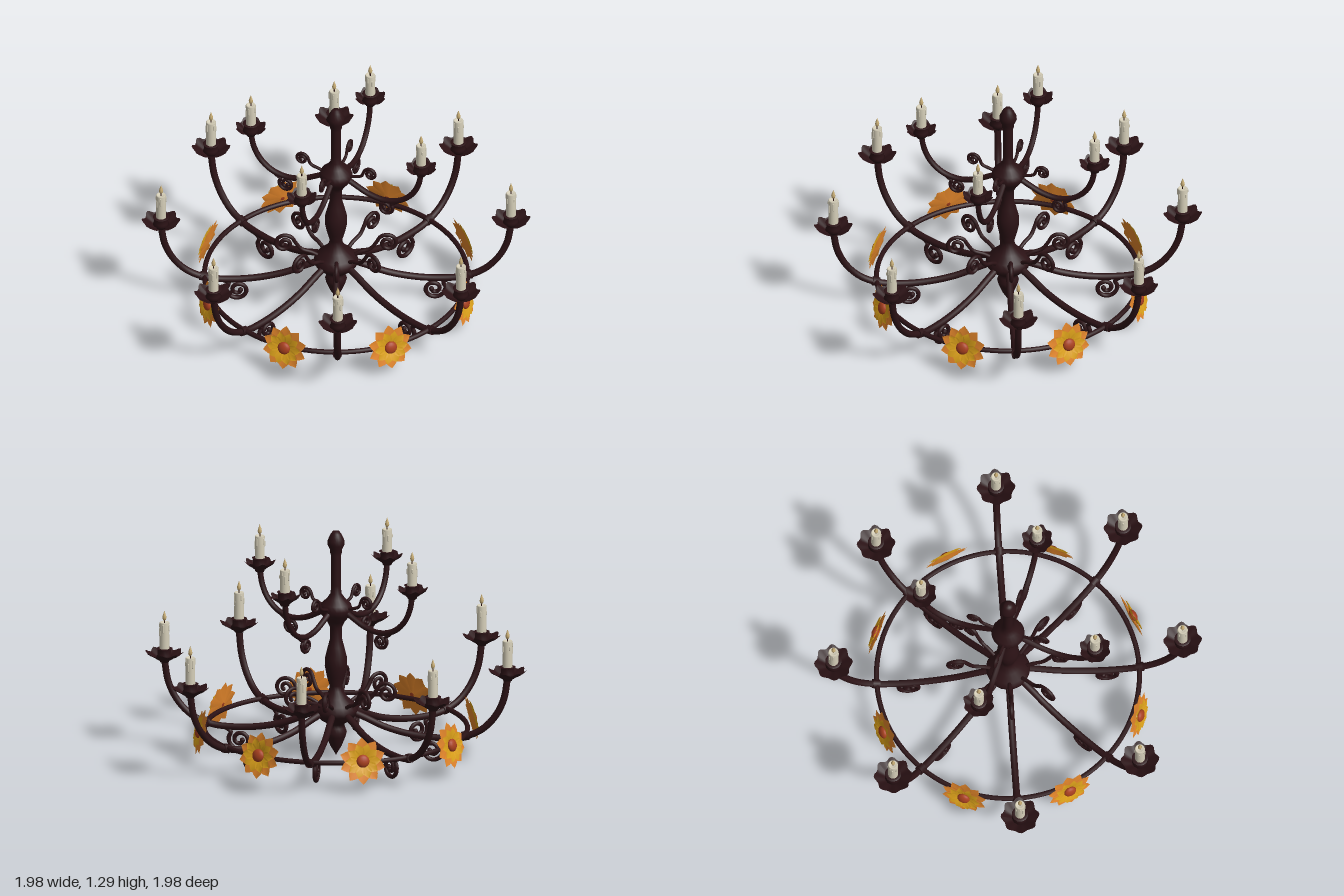
import * as THREE from 'three';
import { mergeGeometries } from 'three/addons/utils/BufferGeometryUtils.js';

const mat = (name, color, side = THREE.FrontSide) => {
  const m = new THREE.MeshStandardMaterial({ color, side });
  m.name = name;
  return m;
};
const V = (x, y) => new THREE.Vector3(x, y, 0);
const lathe = (pts, seg) => new THREE.LatheGeometry(pts.map(p => new THREE.Vector2(p[0], p[1])), seg);

// Tube through [radius, height] points in a vertical plane
const tube = (pts, r, seg) =>
  new THREE.TubeGeometry(new THREE.CatmullRomCurve3(pts.map(p => V(p[0], p[1]))), seg, r, 8);

// Wrought scroll: a stem that winds clockwise into a spiral with a small bead at its end
function scroll(stem, cx, cy, R, startDeg, turns, r) {
  const pts = [...stem], n = Math.round(turns * 12);
  for (let i = 0; i <= n; i++) {
    const a = startDeg * Math.PI / 180 - i / 12 * Math.PI * 2;
    const rad = R * (1 - 0.78 * i / n);
    pts.push([cx + rad * Math.cos(a), cy + rad * Math.sin(a)]);
  }
  const end = pts[pts.length - 1];
  return mergeGeometries([
    tube(pts, r, 60),
    new THREE.SphereGeometry(r * 1.2, 8, 6).translate(end[0], end[1], 0),
  ]);
}

// Ring of pointed, ridged petals facing +z
function petals(count, length, width, lift, base, turn) {
  const list = [];
  for (let k = 0; k < count; k++) {
    const g = new THREE.PlaneGeometry(1, 1, 2, 5), p = g.attributes.position;
    for (let i = 0; i < p.count; i++) {
      const s = p.getX(i) * 2, t = p.getY(i) + 0.5;
      const w = width * 0.5 * (t < 0.6 ? 0.35 + 0.65 * Math.sin(t / 0.6 * Math.PI / 2) : Math.pow((1 - t) / 0.4, 0.7));
      const z = base + lift * Math.sin(t * 2.2) - 0.006 * (1 - Math.abs(s)) * Math.sin(t * Math.PI);
      p.setXYZ(i, s * w, 0.012 + t * (length - 0.012), z);
    }
    g.computeVertexNormals();
    list.push(g.rotateZ(turn + k / count * Math.PI * 2));
  }
  return mergeGeometries(list);
}

// Scalloped drip dish with a wavy rim
function dish(R) {
  const profile = [[0.18, -0.04], [0.4, -0.026], [0.6, -0.012], [0.82, 0.0], [1, 0.012]];
  const g = lathe(profile, 48), p = g.attributes.position;
  for (let i = 0; i < p.count; i++) {
    const x = p.getX(i), z = p.getZ(i), r = Math.hypot(x, z), a = Math.atan2(z, x);
    const wave = Math.cos(8 * a) * r * r, s = R * (0.93 + 0.07 * wave);
    p.setXYZ(i, x * s, p.getY(i) + 0.008 * wave, z * s);
  }
  g.computeVertexNormals();
  return g;
}

// Candle with wax drips, standing on y = 0
function candle(h) {
  const r = 0.028;
  const list = [lathe([[0, 0], [r, 0], [r, 0.002], [r * 0.96, h * 0.6], [r, h - 0.006], [r * 0.85, h], [r * 0.6, h - 0.006], [0, h - 0.008]], 16)];
  for (let i = 0; i < 6; i++) {
    const a = i * 2.4, len = 0.015 + 0.012 * (i % 3);
    list.push(new THREE.CapsuleGeometry(0.005, len, 3, 6)
      .translate(r * 0.93 * Math.cos(a), h - 0.012 - len * 0.6 - 0.02 * (i % 2), r * 0.93 * Math.sin(a)));
  }
  return mergeGeometries(list);
}

export function createModel() {
  const iron = mat('dark iron', 0x2b1215);
  const ironSheet = mat('dark iron sheet', 0x2b1215, THREE.DoubleSide);
  const wax = mat('ivory wax', 0xd6cfb9);
  const flameMat = mat('flame', 0xcbb078);
  const orange = mat('orange petal', 0xe0842a, THREE.DoubleSide);
  const gold = mat('gold petal', 0xdba01a, THREE.DoubleSide);
  const seed = mat('red brown centre', 0xa8401f);

  const model = new THREE.Group();
  model.name = 'chandelier';
  const add = (parent, name, geo, material) => {
    const m = new THREE.Mesh(geo, material);
    m.name = name;
    parent.add(m);
    return m;
  };
  // Repeat a radial part, built along +x, around the column
  const around = (name, count, offsetDeg, build) => {
    for (let i = 0; i < count; i++) {
      const g = new THREE.Group();
      g.name = name;
      g.rotation.y = (offsetDeg + i * 360 / count) * Math.PI / 180;
      build(g);
      model.add(g);
    }
  };

  // Turned central column with hubs, vase, finial and top knob
  add(model, 'column', lathe([
    [0, 0.03], [0.014, 0.055], [0.032, 0.085], [0.054, 0.14], [0.06, 0.165], [0.05, 0.19], [0.045, 0.21],
    [0.085, 0.235], [0.118, 0.27], [0.122, 0.295], [0.105, 0.325], [0.065, 0.36], [0.038, 0.40], [0.036, 0.43],
    [0.05, 0.48], [0.062, 0.54], [0.06, 0.59], [0.045, 0.65], [0.032, 0.70], [0.032, 0.76], [0.05, 0.795],
    [0.082, 0.835], [0.092, 0.865], [0.082, 0.895], [0.05, 0.925], [0.03, 0.955], [0.027, 1.0], [0.027, 1.17],
    [0.034, 1.19], [0.034, 1.205], [0.046, 1.23], [0.047, 1.255], [0.036, 1.28], [0.028, 1.295], [0.018, 1.308], [0, 1.31],
  ], 20), iron);

  // Hoop that carries the flowers
  add(model, 'hoop', new THREE.TorusGeometry(0.724, 0.014, 8, 96).rotateX(Math.PI / 2).translate(0, 0.185, 0), iron);

  // Candle holder: dish, cup, candle, wick and flame
  const flameGeo = lathe([[0, 0], [0.008, 0.006], [0.012, 0.018], [0.009, 0.032], [0.004, 0.046], [0, 0.058]], 10);
  const cupGeo = lathe([[0, -0.045], [0.024, -0.042], [0.03, -0.025], [0.045, -0.012], [0.038, 0], [0.038, 0.032], [0.045, 0.036], [0.028, 0.036], [0, 0.03]], 16);
  const wickGeo = new THREE.CylinderGeometry(0.003, 0.003, 0.024, 6);
  const holder = (parent, x, y, R, h, dishGeo, candleGeo) => {
    const g = new THREE.Group();
    g.name = 'candleHolder';
    g.position.set(x, y, 0);
    add(g, 'dripDish', dishGeo, ironSheet);
    add(g, 'cup', cupGeo, iron);
    add(g, 'candle', candleGeo, wax).position.y = 0.022;
    add(g, 'wick', wickGeo, iron).position.y = h + 0.026;
    add(g, 'flame', flameGeo, flameMat).position.y = h + 0.028;
    parent.add(g);
  };

  // Lower tier: eight long arms with scrolls above and below
  const lowArm = tube([[0.07, 0.29], [0.16, 0.255], [0.28, 0.205], [0.42, 0.172], [0.56, 0.16], [0.70, 0.17],
    [0.81, 0.215], [0.89, 0.295], [0.94, 0.395], [0.963, 0.52]], 0.019, 48);
  const lowHang = scroll([[0.66, 0.168], [0.625, 0.155]], 0.54, 0.088, 0.066, 40, 1.6, 0.012);
  const lowCurl = scroll([[0.07, 0.30], [0.13, 0.338], [0.19, 0.362]], 0.285, 0.40, 0.06, 170, 1.6, 0.011);
  const collar = new THREE.CylinderGeometry(0.026, 0.026, 0.04, 10).rotateZ(Math.PI / 2 + 0.25).translate(0.728, 0.18, 0);
  const lowDish = dish(0.107), lowCandle = candle(0.165);
  around('lowerArm', 8, 22.5, g => {
    add(g, 'arm', lowArm, iron);
    add(g, 'hangingScroll', lowHang, iron);
    add(g, 'hubScroll', lowCurl, iron);
    add(g, 'collar', collar, iron);
    holder(g, 0.963, 0.55, 0.107, 0.165, lowDish, lowCandle);
  });

  // Upper tier: four short arms
  const upArm = tube([[0.05, 0.865], [0.12, 0.825], [0.20, 0.787], [0.29, 0.772], [0.38, 0.795], [0.45, 0.855],
    [0.49, 0.935], [0.505, 1.02]], 0.016, 40);
  const upHang = scroll([[0.375, 0.792], [0.35, 0.768]], 0.295, 0.724, 0.044, 40, 1.6, 0.010);
  const upCurl = scroll([[0.05, 0.865], [0.10, 0.88], [0.15, 0.898]], 0.202, 0.922, 0.038, 170, 1.6, 0.009);
  const upDish = dish(0.088), upCandle = candle(0.142);
  around('upperArm', 4, 0, g => {
    add(g, 'arm', upArm, iron);
    add(g, 'hangingScroll', upHang, iron);
    add(g, 'hubScroll', upCurl, iron);
    holder(g, 0.505, 1.042, 0.088, 0.142, upDish, upCandle);
  });

  // Eight flowers on the hoop, facing outward and tilted slightly up
  const place = geo => geo.rotateY(Math.PI / 2).rotateZ(0.22).translate(0.748, 0.2, 0);
  const outer = place(petals(10, 0.13, 0.076, 0.014, 0, 0));
  const inner = place(petals(10, 0.098, 0.056, 0.018, 0.011, Math.PI / 10));
  const centre = place(new THREE.SphereGeometry(0.036, 16, 10).scale(1, 1, 0.55).translate(0, 0, 0.022));
  around('flower', 8, 0, g => {
    add(g, 'outerPetals', outer, orange);
    add(g, 'innerPetals', inner, gold);
    add(g, 'flowerCentre', centre, seed);
  });

  return model;
}
